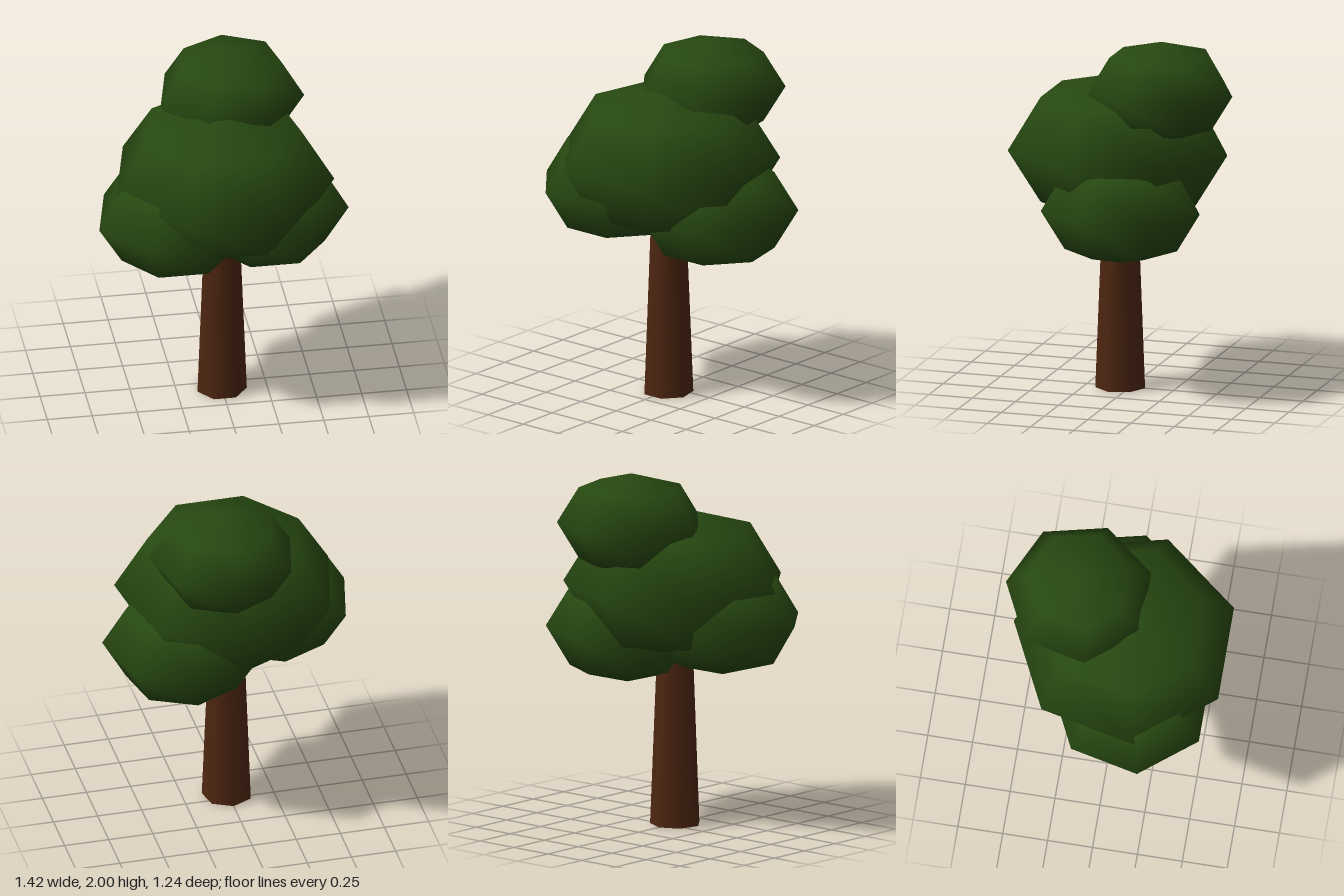
import * as THREE from 'three';

const SIDES = 7;

export function createModel() {
  const tree = new THREE.Group();
  tree.name = 'tree';

  const bark = new THREE.MeshStandardMaterial({ color: 0x4e2611 });
  bark.name = 'brown bark';
  const leaves = new THREE.MeshStandardMaterial({ color: 0x274811 });
  leaves.name = 'dark green leaves';

  // Tapered seven-sided trunk, running up into the crown
  const height = 1.3;
  const trunk = new THREE.Mesh(
    new THREE.CylinderGeometry(0.09, 0.141, height, SIDES, 1, false, Math.PI), bark);
  trunk.name = 'trunk';
  trunk.position.set(0, height / 2, 0.055);
  tree.add(trunk);

  // Flattened low-poly leaf clumps, each with one corner towards the back
  const clump = new THREE.SphereGeometry(1, SIDES, 4, -Math.PI / 2);
  const addClump = (name, [x, y, z], radius, halfHeight) => {
    const mesh = new THREE.Mesh(clump, leaves);
    mesh.name = name;
    mesh.position.set(x, y, z);
    mesh.scale.set(radius, halfHeight, radius);
    tree.add(mesh);
  };
  addClump('mainFoliage', [0, 1.36, 0.06], 0.622, 0.42);
  addClump('topFoliage', [0.09, 1.72, -0.21], 0.41, 0.28);
  addClump('rightFoliage', [-0.27, 1.175, 0.14], 0.45, 0.31);
  addClump('leftFoliage', [0.27, 1.085, -0.04], 0.45, 0.31);

  return tree;
}
